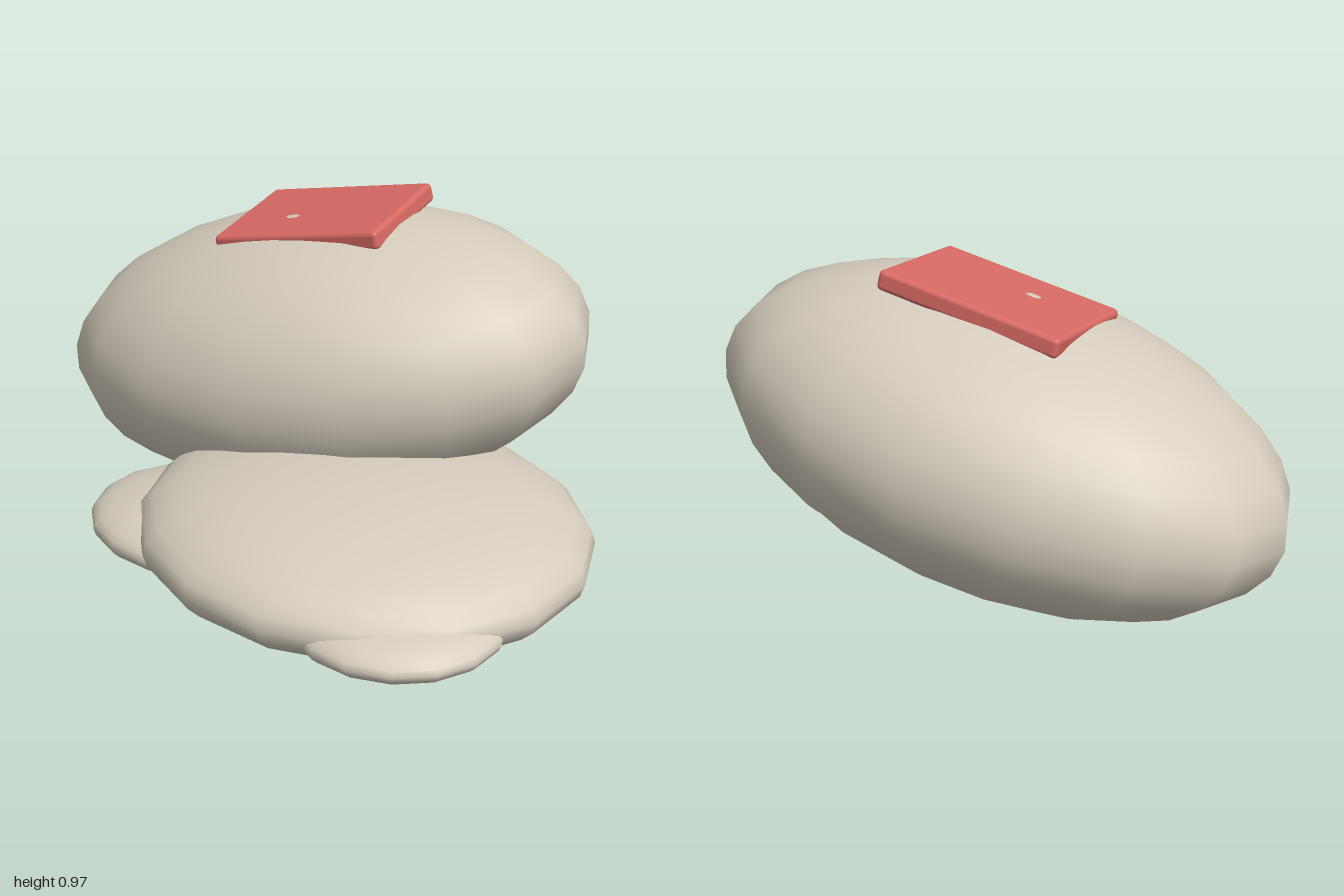
import * as THREE from 'three';
import { RoundedBoxGeometry } from 'three/addons/geometries/RoundedBoxGeometry.js';

const material = (name, color) => {
  const m = new THREE.MeshStandardMaterial({ color });
  m.name = name;
  return m;
};

export function createModel() {
  const stone = material('warm stone', 0xd6cdbe);
  const red = material('soft red', 0xd86a64);
  const model = new THREE.Group();
  model.name = 'stackedPebbles';

  // Smooth pebble: a sphere stretched to three radii
  const pebble = (name, radii, position, parent) => {
    const mesh = new THREE.Mesh(new THREE.SphereGeometry(1, 16, 16).scale(...radii), stone);
    mesh.name = name;
    mesh.position.set(...position);
    parent.add(mesh);
    return mesh;
  };

  // Upper pebble, turned and tilted together with its plate
  const upper = new THREE.Group();
  upper.name = 'upperPebbleWithPlate';
  upper.position.set(-0.21, 0.495, -0.165);
  upper.rotation.set(0.117, 0.375, 0.184, 'YZX');
  model.add(upper);
  pebble('upperPebble', [0.838, 0.403, 0.54], [0, 0, 0], upper);

  // Flat plate resting on the upper pebble
  const plate = new THREE.Mesh(new RoundedBoxGeometry(0.535, 0.056, 0.378, 3, 0.014), red);
  plate.name = 'topPlate';
  plate.position.set(0.074, 0.374, -0.047);
  upper.add(plate);

  // Flat base pebble with two small ones peeking out at its front corners
  pebble('basePebble', [0.66, 0.187, 0.602], [0.33, 0.192, 0.142], model);
  pebble('rightSmallPebble', [0.32, 0.088, 0.28], [-0.07, 0.152, 0.42], model);
  pebble('leftSmallPebble', [0.29, 0.08, 0.28], [0.71, 0.165, 0.36], model);

  return model;
}
